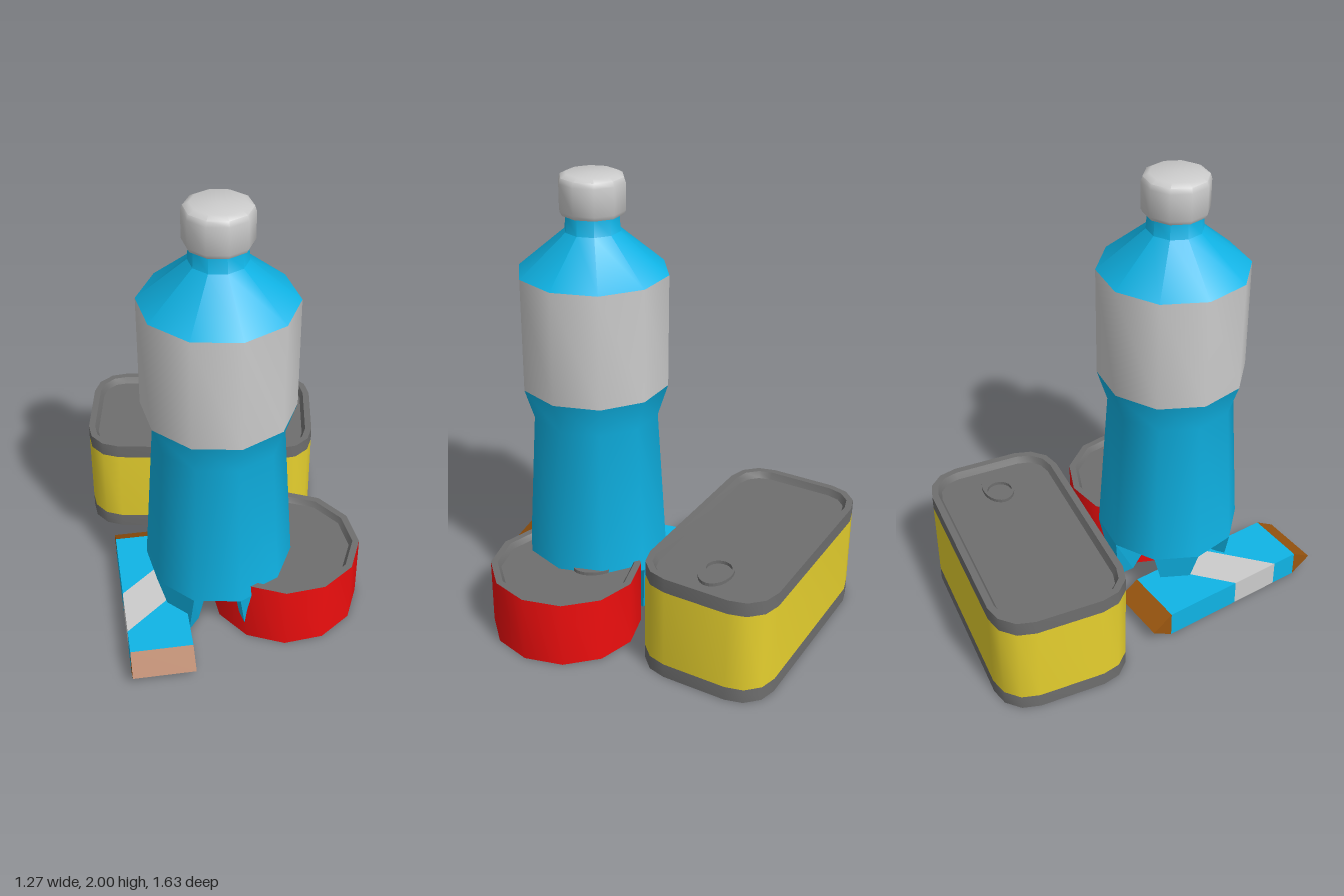
import * as THREE from 'three';
import { toCreasedNormals } from 'three/addons/utils/BufferGeometryUtils.js';
import { ConvexGeometry } from 'three/addons/geometries/ConvexGeometry.js';

const mat = (color) => new THREE.MeshStandardMaterial({ color });
const GREY = mat(0xcccccc), METAL = mat(0x6e6e6e), BLUE = mat(0x0fb4e6);
const RED = mat(0xee0e0e), YELLOW = mat(0xe6d02e), BROWN = mat(0x9a560f);

function add(parent, name, geometry, material) {
  const mesh = new THREE.Mesh(geometry, material);
  mesh.name = name;
  parent.add(mesh);
  return mesh;
}

function addGroup(parent, name, x, z, turn = 0) {
  const group = new THREE.Group();
  group.name = name;
  group.position.set(x, 0, z);
  group.rotation.y = turn;
  parent.add(group);
  return group;
}

// Ten-sided turned part; points are [radius, y] from bottom to top
function turned(points, crease = 0.8) {
  const profile = points.map(([r, y]) => new THREE.Vector2(r, y));
  return toCreasedNormals(new THREE.LatheGeometry(profile, 10, Math.PI / 2), crease);
}

// Rounded outline with three facets per corner, drawn in by an inset
function outline(hx, hz, r, inset) {
  const points = [];
  const round = hx === r && hz === r;
  for (let q = 0; q < 4; q++) {
    const sx = q === 0 || q === 3 ? 1 : -1, sz = q < 2 ? 1 : -1;
    for (let i = 0; i <= (round ? 2 : 3); i++) {
      const a = (q + i / 3) * Math.PI / 2;
      points.push([sx * (hx - r) + (r - inset) * Math.cos(a), sz * (hz - r) + (r - inset) * Math.sin(a)]);
    }
  }
  return points;
}

// Skin over outlines; rings are [inset, y], a null inset closes to the centre
function canSkin([hx, hz, r], rings) {
  const position = [];
  const sections = rings.map(([inset, y]) =>
    outline(hx, hz, r, inset ?? 0).map(([x, z]) => (inset === null ? [0, y, 0] : [x, y, z])));
  for (let k = 0; k < rings.length - 1; k++) {
    const lo = sections[k], hi = sections[k + 1];
    lo.forEach((a, i) => {
      const j = (i + 1) % lo.length;
      if (rings[k + 1][0] !== null) position.push(...a, ...hi[i], ...hi[j]);
      if (rings[k][0] !== null) position.push(...a, ...hi[j], ...lo[j]);
    });
  }
  const geometry = new THREE.BufferGeometry();
  geometry.setAttribute('position', new THREE.Float32BufferAttribute(position, 3));
  return toCreasedNormals(geometry, 0.7);
}

// Oval ring pull with a round hole
function addTab(can, x, y, z, turn) {
  const shape = new THREE.Shape().absellipse(0, 0, 0.1, 0.07, 0, Math.PI * 2);
  shape.holes.push(new THREE.Path().absellipse(-0.025, 0, 0.055, 0.055, 0, Math.PI * 2, true));
  const geometry = new THREE.ExtrudeGeometry(shape, { depth: 0.015, bevelEnabled: false, curveSegments: 14 });
  const tab = add(can, 'pullTab', geometry.rotateX(-Math.PI / 2), METAL);
  tab.position.set(x, y, z);
  tab.rotation.y = turn;
}

function addBottle(model) {
  const bottle = addGroup(model, 'bottle', 0, 0.23);
  add(bottle, 'bottleBody', turned([[0.325, 0.25], [0.28, 0.94], [0.325, 1.085]]), BLUE);
  add(bottle, 'bottleLabel', turned([[0.325, 1.085], [0.325, 1.585]]), GREY);
  add(bottle, 'bottleShoulder', turned([[0.325, 1.585], [0.12, 1.76], [0.115, 1.84]]), BLUE);
  add(bottle, 'bottleCap', turned([[0, 1.832], [0.132, 1.832], [0.142, 1.85], [0.142, 1.965],
    [0.135, 1.987], [0.11, 2], [0, 2]]), GREY);
  const base = add(bottle, 'bottleBase', new THREE.CircleGeometry(0.325, 10).rotateX(Math.PI / 2), BLUE);
  base.position.y = 0.25;

  // Five tapered feet below alternate facets
  for (let i = 0; i < 5; i++) {
    const a = THREE.MathUtils.degToRad(54 + 72 * i);
    const at = (r, t, y) => new THREE.Vector3(
      r * Math.cos(a) - t * Math.sin(a), y, r * Math.sin(a) + t * Math.cos(a));
    const corners = [at(0, 0, 0.25)];
    for (const s of [-1, 1]) corners.push(at(0.309, s * 0.1, 0.25), at(0.27, s * 0.04, 0), at(0.19, s * 0.03, 0));
    add(bottle, 'bottleFoot', new ConvexGeometry(corners), BLUE);
  }
}

function addCans(model) {
  // Rectangular can with a printed sleeve
  const box = [0.535, 0.3, 0.155];
  const tin = addGroup(model, 'rectangularCan', -0.1, -0.515);
  add(tin, 'canBottom', canSkin(box, [[null, 0], [0, 0], [0, 0.065]]), METAL);
  add(tin, 'canSleeve', canSkin(box, [[0, 0.065], [0, 0.43]]), YELLOW);
  add(tin, 'canLid', canSkin(box, [[0, 0.43], [0, 0.495], [0.03, 0.495], [0.045, 0.465], [null, 0.465]]), METAL);
  addTab(tin, 0.35, 0.465, 0, 0);

  // Low round can
  const disc = [0.335, 0.335, 0.335];
  const round = addGroup(model, 'roundCan', 0.297, 0.21);
  add(round, 'canBottom', canSkin(disc, [[null, 0], [0, 0]]), METAL);
  add(round, 'canWall', canSkin(disc, [[0, 0], [0, 0.305]]), RED);
  add(round, 'canLid', canSkin(disc, [[0, 0.305], [0.03, 0.305], [0.045, 0.28], [null, 0.28]]), METAL);
  addTab(round, -0.07, 0.28, -0.11, -0.8);
}

function addBar(model) {
  const bar = addGroup(model, 'wrappedBar', -0.295, 0.345, 0.173);
  const w = 0.136, h = 0.12, body = 0.355, end = 0.45;
  // Upright block over a plan outline of [x, z] corners
  const block = (name, corners, material) => {
    const shape = new THREE.Shape(corners.map(([x, z]) => new THREE.Vector2(x, z)));
    const geometry = new THREE.ExtrudeGeometry(shape, { depth: h, bevelEnabled: false });
    add(bar, name, geometry.rotateX(Math.PI / 2).translate(0, h, 0), material);
  };
  block('barBack', [[-w, -body], [w, -body], [w, -0.225], [-w, 0.006]], BLUE);
  block('barStripe', [[-w, 0.006], [w, -0.225], [w, 0.005], [-w, 0.236]], GREY);
  block('barFront', [[-w, 0.236], [w, 0.005], [w, body], [-w, body]], BLUE);

  // Pinched ends
  for (const s of [-1, 1]) {
    const corners = [];
    for (const x of [-w, w]) {
      for (const [y, z] of [[0, body], [h, body], [h / 2, end]]) corners.push(new THREE.Vector3(x, y, s * z));
    }
    add(bar, 'barEnd', new ConvexGeometry(corners), BROWN);
  }
}

export function createModel() {
  const model = new THREE.Group();
  model.name = 'bottleCansAndBar';
  addBottle(model);
  addCans(model);
  addBar(model);
  return model;
}
